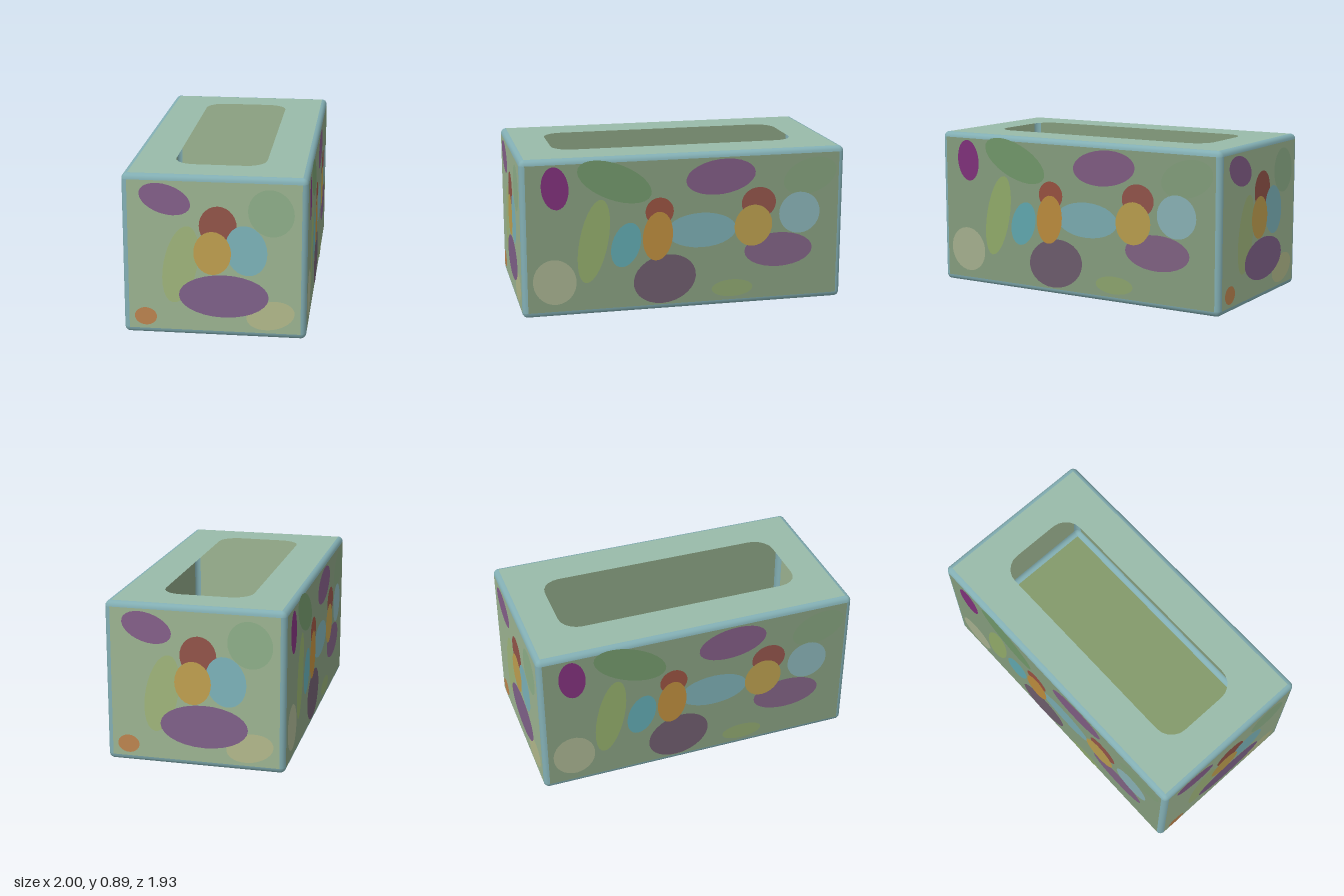
import * as THREE from 'three';

const HX = 0.92, HZ = 0.49, H = 0.89, R = 0.03; // half length, half depth, height, edge radius
const ARC = 6; // points per rounded corner

const mat = (color, side = THREE.DoubleSide) => new THREE.MeshStandardMaterial({ color, side });

// Rounded rectangle at height y
function ring(hx, hz, r, y) {
  const pts = [];
  for (let c = 0; c < 4; c++) {
    const sx = c === 0 || c === 3 ? 1 : -1, sz = c < 2 ? 1 : -1;
    for (let i = 0; i < ARC; i++) {
      const a = (c + i / (ARC - 1)) * Math.PI / 2;
      pts.push([sx * (hx - r) + r * Math.cos(a), y, sz * (hz - r) + r * Math.sin(a)]);
    }
  }
  return pts;
}

// Skin between rings; cornersOnly leaves out the four flat stretches
function loft(name, rings, color, cornersOnly = false) {
  const n = ARC * 4, index = [];
  for (let k = 0; k < rings.length - 1; k++) {
    for (let i = 0; i < n; i++) {
      if (cornersOnly && i % ARC === ARC - 1) continue;
      const a = k * n + i, b = k * n + (i + 1) % n;
      index.push(a, a + n, b, b, a + n, b + n);
    }
  }
  const g = new THREE.BufferGeometry();
  g.setAttribute('position', new THREE.Float32BufferAttribute(rings.flat(2), 3));
  g.setIndex(index);
  g.computeVertexNormals();
  const mesh = new THREE.Mesh(g, mat(color));
  mesh.name = name;
  return mesh;
}

// Rings of a quarter-round edge, from the floor or up to the lid
function bevel(top) {
  const rings = [];
  for (let i = 0; i <= 4; i++) {
    const a = (top ? i : i - 4) / 4 * Math.PI / 2;
    const inset = R * (1 - Math.cos(a));
    const y = (top ? H - R : R) + R * Math.sin(a);
    rings.push(ring(HX - inset, HZ - inset, Math.max(R - inset, 0.001), y));
  }
  return rings;
}

// Painted patches: [x, y, half width, half height, tilt, color]
const LONG_PATCHES = [
  [-0.4, 0.75, 0.22, 0.1, -0.4, 0x6f9468], [-0.52, 0.42, 0.08, 0.24, -0.2, 0x8fa868],
  [-0.74, 0.2, 0.12, 0.13, 0.3, 0xa3ad8c], [0.72, 0.73, 0.16, 0.1, 0.3, 0x7f9b78],
  [0.2, 0.75, 0.2, 0.1, 0.1, 0x7d5a80], [-0.12, 0.18, 0.18, 0.14, 0.2, 0x6b5a6a],
  [0.54, 0.31, 0.2, 0.1, 0, 0x7d6080], [0.09, 0.45, 0.2, 0.1, 0, 0x78a8ad],
  [-0.73, 0.73, 0.075, 0.12, 0.1, 0x7d3078], [-0.34, 0.39, 0.08, 0.13, -0.3, 0x5fa5ac],
  [-0.15, 0.57, 0.08, 0.08, 0, 0x95503f], [-0.16, 0.43, 0.085, 0.14, -0.1, 0xb8893c],
  [0.42, 0.59, 0.1, 0.09, 0, 0x8f5248], [0.39, 0.46, 0.11, 0.12, -0.2, 0xb59a4c],
  [0.66, 0.52, 0.12, 0.12, 0, 0x86aeb2], [0.27, 0.1, 0.12, 0.05, 0, 0x8aa26c],
];
const END_PATCHES = [
  [0.3, 0.7, 0.12, 0.13, 0.4, 0x8fb08a], [-0.18, 0.4, 0.09, 0.22, -0.2, 0xa0b67c],
  [0.3, 0.13, 0.13, 0.08, 0.2, 0xb3ba8c], [-0.26, 0.76, 0.14, 0.08, -0.3, 0x85608a],
  [0.05, 0.23, 0.24, 0.12, 0, 0x80628a], [0.02, 0.62, 0.1, 0.11, 0, 0x94554a],
  [0.17, 0.49, 0.11, 0.14, 0.2, 0x7db4bb], [-0.01, 0.47, 0.1, 0.12, 0, 0xc0a050],
  [-0.37, 0.1, 0.06, 0.05, 0, 0xbd8550],
];

// Flat wall with its painted patches, facing +z before turning
function wall(name, halfWidth, dist, turn, patches, color) {
  const g = new THREE.Group();
  g.name = name;
  const panel = new THREE.Mesh(new THREE.PlaneGeometry(2 * (halfWidth - R), H - 2 * R), mat(color));
  panel.name = name + 'Panel';
  panel.position.set(0, H / 2, dist);
  g.add(panel);
  patches.forEach(([x, y, w, h, tilt, c], i) => {
    const p = new THREE.Mesh(new THREE.CircleGeometry(1, 28), mat(c, THREE.FrontSide));
    p.name = 'paintedPatch';
    p.scale.set(w, h, 1);
    p.rotation.z = tilt;
    p.position.set(x, y, dist + 0.001 + i * 0.0003);
    g.add(p);
  });
  g.rotation.y = turn;
  return g;
}

export function createModel() {
  const model = new THREE.Group();
  model.name = 'tissueBox';
  const box = new THREE.Group();
  box.name = 'boxShell';
  const trim = 0x82aeb3;
  const low = bevel(false), high = bevel(true);

  // Closed floor, rounded edges and corners
  box.add(loft('floor', [ring(0, 0, 0, 0), low[0]], 0x82996a));
  box.add(loft('bottomEdge', low, trim));
  box.add(loft('cornerEdges', [low[4], high[0]], trim, true));
  box.add(loft('topEdge', high, trim));

  // Lid running in to the rounded slot
  box.add(loft('lid', [high[4], ring(0.7, 0.247, 0.11, H)], 0x98b9a8));

  // Two matching long walls and two matching ends
  for (const s of [0, 1]) {
    box.add(wall(s ? 'backWall' : 'frontWall', HX, HZ, s * Math.PI, LONG_PATCHES, 0x839a7c));
    box.add(wall(s ? 'leftEnd' : 'rightEnd', HZ, HX, (s - 0.5) * Math.PI, END_PATCHES, 0x9db592));
  }

  // The box stands diagonally
  box.rotation.y = 0.725;
  model.add(box);
  return model;
}
